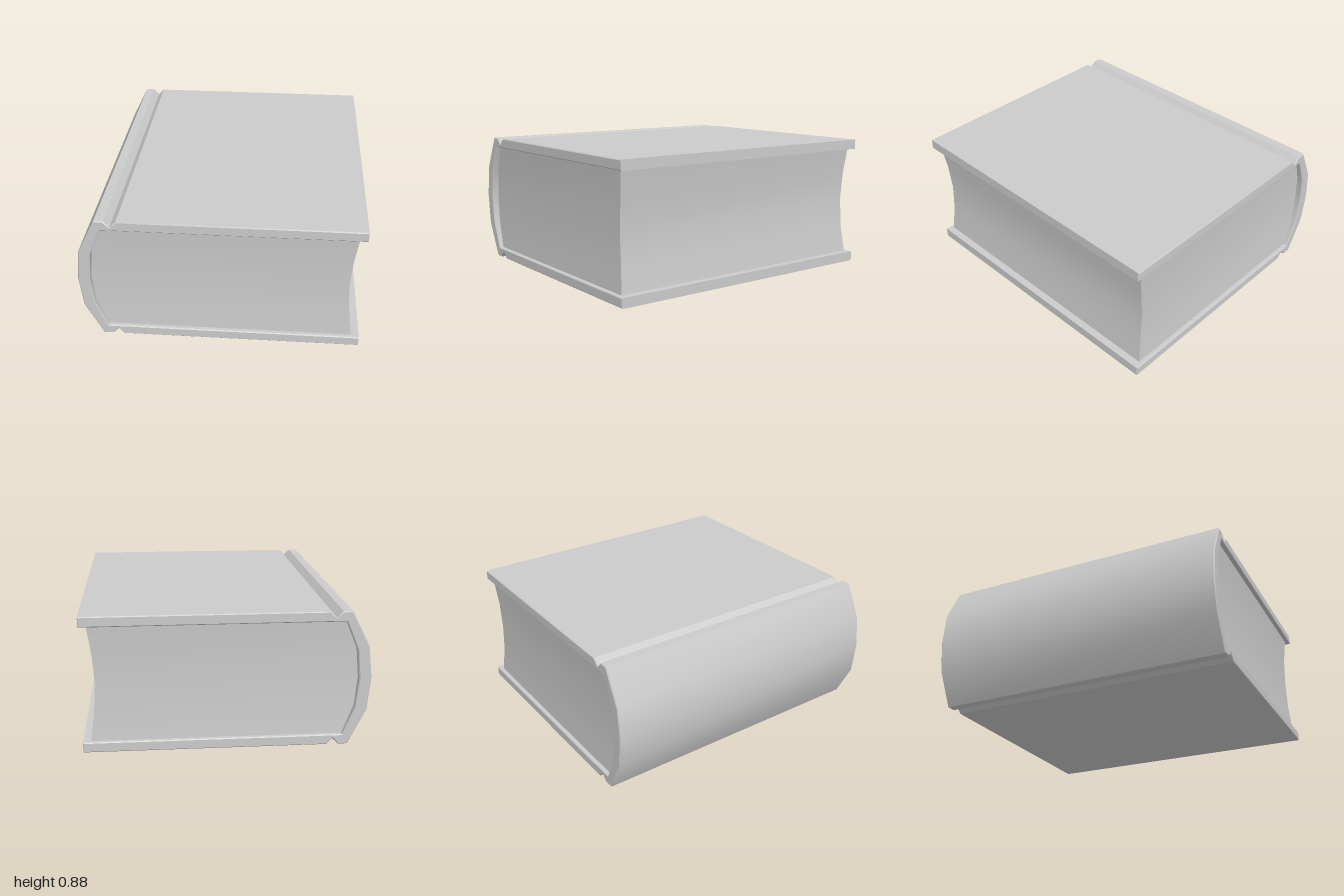
import * as THREE from 'three';
import { toCreasedNormals } from 'three/addons/utils/BufferGeometryUtils.js';

const H = 0.88;
const material = new THREE.MeshStandardMaterial({ color: 0xcccccc });

// Case binding: boards, hinge grooves and rounded spine as one C-shaped profile
function makeCover() {
  const outer = [[0.905, H], [-0.633, H], [-0.672, 0.84], [-0.711, H], [-0.77, H], [-0.885, 0.65]];
  const inner = [[-0.812, 0.628], [-0.735, 0.814], [0.905, 0.814]];
  const flip = (list) => list.map(([x, y]) => [x, H - y]).reverse();
  const outline = [...outer, [-0.907, H / 2], ...flip(outer), ...flip(inner), [-0.83, H / 2], ...inner];
  const shape = new THREE.Shape(outline.map(([x, y]) => new THREE.Vector2(x, y)));
  const bevel = 0.006;
  const geometry = new THREE.ExtrudeGeometry(shape, {
    depth: 2 - 2 * bevel, bevelThickness: bevel, bevelSize: bevel, bevelOffset: -bevel, bevelSegments: 1,
  });
  geometry.translate(0, 0, bevel - 1);
  const mesh = new THREE.Mesh(toCreasedNormals(geometry, 0.7), material);
  mesh.name = 'cover';
  return mesh;
}

// Page block: stacked rectangles, rounded at the spine and hollow on the other sides
function makePages() {
  // y, spine x, fore-edge x, half length in z
  const rows = [
    [0.066, -0.735, 0.856, 0.972],
    [0.252, -0.812, 0.831, 0.957],
    [0.44, -0.83, 0.818, 0.955],
    [0.628, -0.812, 0.831, 0.957],
    [0.814, -0.735, 0.856, 0.972],
  ];
  const positions = [];
  const index = [];
  for (const [y, x0, x1, z] of rows) positions.push(x0, y, z, x1, y, z, x1, y, -z, x0, y, -z);
  for (let r = 0; r < rows.length - 1; r++) {
    for (let i = 0; i < 4; i++) {
      const a = r * 4 + i;
      const b = r * 4 + ((i + 1) % 4);
      index.push(a, b, b + 4, a, b + 4, a + 4);
    }
  }
  const t = (rows.length - 1) * 4;
  index.push(0, 2, 1, 0, 3, 2, t, t + 1, t + 2, t, t + 2, t + 3);
  const geometry = new THREE.BufferGeometry();
  geometry.setAttribute('position', new THREE.Float32BufferAttribute(positions, 3));
  geometry.setIndex(index);
  const mesh = new THREE.Mesh(toCreasedNormals(geometry, 0.7), material);
  mesh.name = 'pages';
  return mesh;
}

export function createModel() {
  const book = new THREE.Group();
  book.name = 'book';
  book.add(makeCover(), makePages());
  return book;
}
